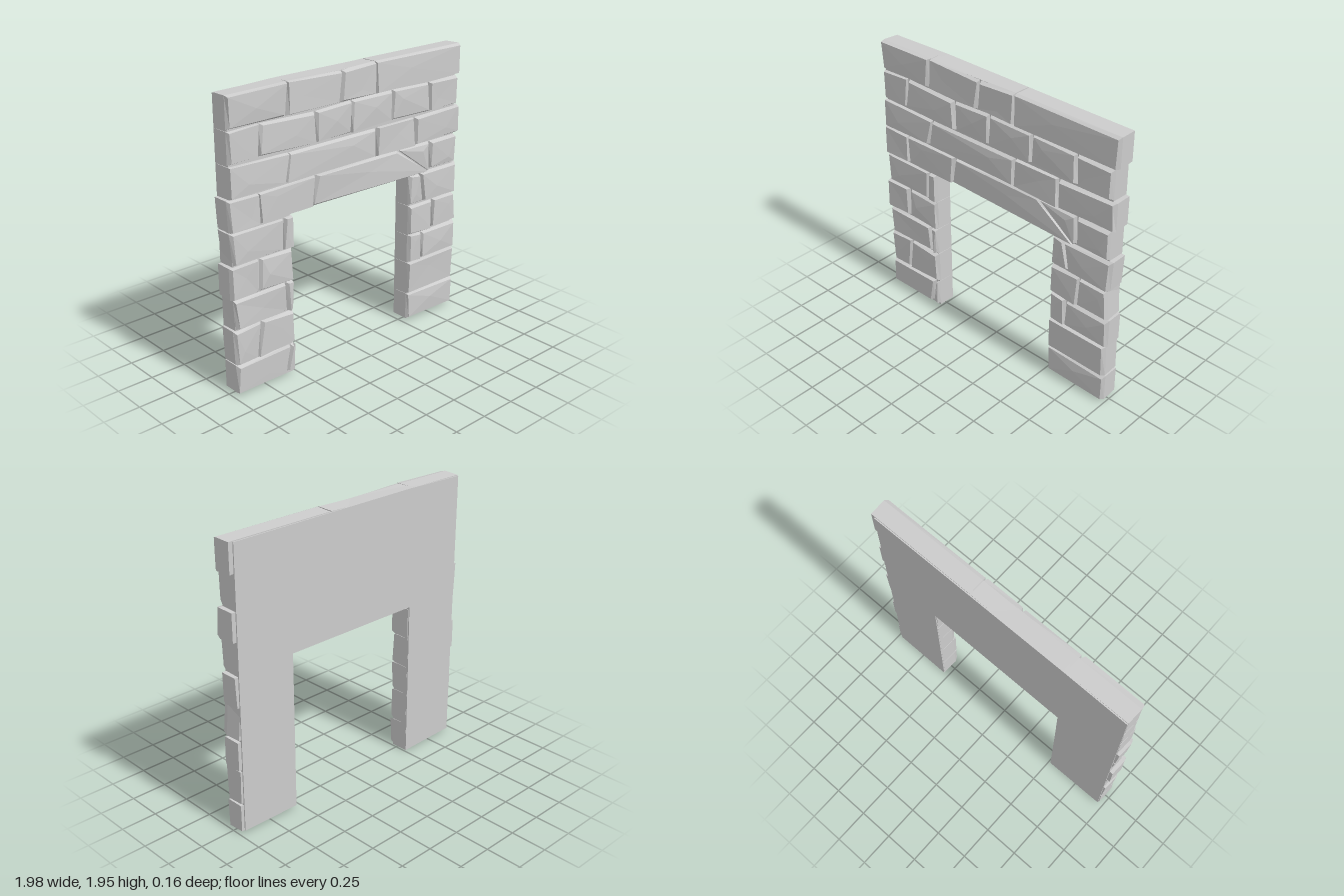
import * as THREE from 'three';

const material = new THREE.MeshStandardMaterial({ color: 0xcccccc, flatShading: true });

// Seeded jitter in the range -1..1
let seed = 7;
function jitter() {
  seed = (seed * 16807) % 2147483647;
  return (seed / 2147483647) * 2 - 1;
}

// Rough-cut stone: a four-cornered block with a chipped front edge and a faceted face.
// corners run anticlockwise from bottom left as [x, y]
function stone(corners, name) {
  const cx = corners.reduce((s, c) => s + c[0], 0) / 4;
  const cy = corners.reduce((s, c) => s + c[1], 0) / 4;
  const ring = (inset, z, wobble) => corners.map(([x, y]) => [
    x - Math.sign(x - cx) * inset * (1 + 0.8 * jitter() * wobble),
    y - Math.sign(y - cy) * inset * (1 + 0.8 * jitter() * wobble),
    z + 0.006 * jitter() * wobble,
  ]);
  const rings = [ring(0.004, -0.072, 0), ring(0, 0.042, 0), ring(0.011, 0.071, 1)];
  const width = corners[1][0] - corners[0][0];
  const centre = [cx + 0.25 * width * jitter(), cy + 0.05 * jitter(), 0.074 + 0.004 * jitter()];
  const p = [];
  for (let i = 0; i < 4; i++) {
    const j = (i + 1) % 4;
    for (let k = 0; k < 2; k++) {
      const a = rings[k], b = rings[k + 1];
      p.push(...a[i], ...a[j], ...b[j], ...a[i], ...b[j], ...b[i]);
    }
    p.push(...rings[2][i], ...rings[2][j], ...centre);
  }
  p.push(...rings[0][0], ...rings[0][2], ...rings[0][1], ...rings[0][0], ...rings[0][3], ...rings[0][2]);
  const geometry = new THREE.BufferGeometry();
  geometry.setAttribute('position', new THREE.Float32BufferAttribute(p, 3));
  geometry.computeVertexNormals();
  const mesh = new THREE.Mesh(geometry, material);
  mesh.name = name;
  return mesh;
}

// One course: joints are [x at bottom, x at top]; a stone fills each space between joints
function course(name, y0, y1, joints) {
  const group = new THREE.Group();
  group.name = name;
  const gap = 0.003;
  const heights = joints.map((_, i) => {
    const end = i === 0 || i === joints.length - 1;
    const d = end ? 0 : 0.007;
    return [y0 + d * jitter(), y1 + d * jitter()];
  });
  for (let i = 0; i < joints.length - 1; i++) {
    const [l, r] = [joints[i], joints[i + 1]];
    const gl = i === 0 ? 0 : gap;
    const gr = i === joints.length - 2 ? 0 : gap;
    group.add(stone([
      [l[0] + gl, heights[i][0]], [r[0] - gr, heights[i + 1][0]],
      [r[1] - gr, heights[i + 1][1]], [l[1] + gl, heights[i][1]],
    ], 'stone'));
  }
  return group;
}

export function createModel() {
  seed = 7;
  const model = new THREE.Group();
  model.name = 'stoneDoorway';

  // Flat wall behind the stones, with the doorway cut up from the floor
  const outline = new THREE.Shape([
    [-0.96, 0.01], [-0.515, 0], [-0.515, 1.117], [0.535, 1.117], [0.535, 0.015],
    [0.965, 0.02], [0.955, 1.94], [-0.5, 1.95], [-0.965, 1.94],
  ].map(([x, y]) => new THREE.Vector2(x, y)));
  const wallGeometry = new THREE.ExtrudeGeometry(outline, { depth: 0.126, bevelEnabled: false });
  wallGeometry.translate(0, 0, -0.08);
  const wall = new THREE.Mesh(wallGeometry, material);
  wall.name = 'backingWall';
  model.add(wall);

  // Courses over the doorway
  model.add(
    course('lintelCourse', 1.11, 1.315, [[-0.98, -0.99], [-0.75, -0.76], [-0.34, -0.31], [0.7, 0.41], [0.72, 0.71], [0.96, 0.96]]),
    course('thirdCourse', 1.32, 1.52, [[-0.97, -0.97], [-0.55, -0.52], [0.21, 0.21], [0.56, 0.56], [0.99, 0.99]]),
    course('secondCourse', 1.53, 1.735, [[-0.97, -0.97], [-0.75, -0.74], [-0.3, -0.31], [-0.01, -0.01], [0.34, 0.35], [0.7, 0.69], [0.96, 0.96]]),
    course('topCourse', 1.745, 1.95, [[-0.97, -0.97], [-0.54, -0.52], [-0.11, -0.09], [0.2, 0.2], [0.99, 0.99]]),
  );

  // Courses of the two piers
  const levels = [0.015, 0.215, 0.455, 0.665, 0.885, 1.105];
  const rightPier = [
    [[-0.97, -0.97], [-0.57, -0.54], [-0.51, -0.51]],
    [[-0.97, -0.98], [-0.8, -0.77], [-0.51, -0.51]],
    [[-0.96, -0.97], [-0.56, -0.57], [-0.51, -0.51]],
    [[-0.99, -0.99], [-0.78, -0.77], [-0.51, -0.51]],
    [[-0.96, -0.98], [-0.58, -0.57], [-0.505, -0.505]],
  ];
  const leftPier = [
    [[0.53, 0.53], [0.99, 0.99]],
    [[0.53, 0.53], [0.985, 0.98]],
    [[0.53, 0.53], [0.655, 0.655], [0.99, 0.99]],
    [[0.53, 0.53], [0.75, 0.755], [0.98, 0.96]],
    [[0.53, 0.525], [0.66, 0.62], [0.98, 0.99]],
  ];
  for (let i = 0; i < 5; i++) {
    const y0 = levels[i] + 0.003, y1 = levels[i + 1] - 0.003;
    model.add(course('rightPierCourse', y0, y1, rightPier[i]));
    model.add(course('leftPierCourse', y0, y1, leftPier[i]));
  }
  return model;
}
